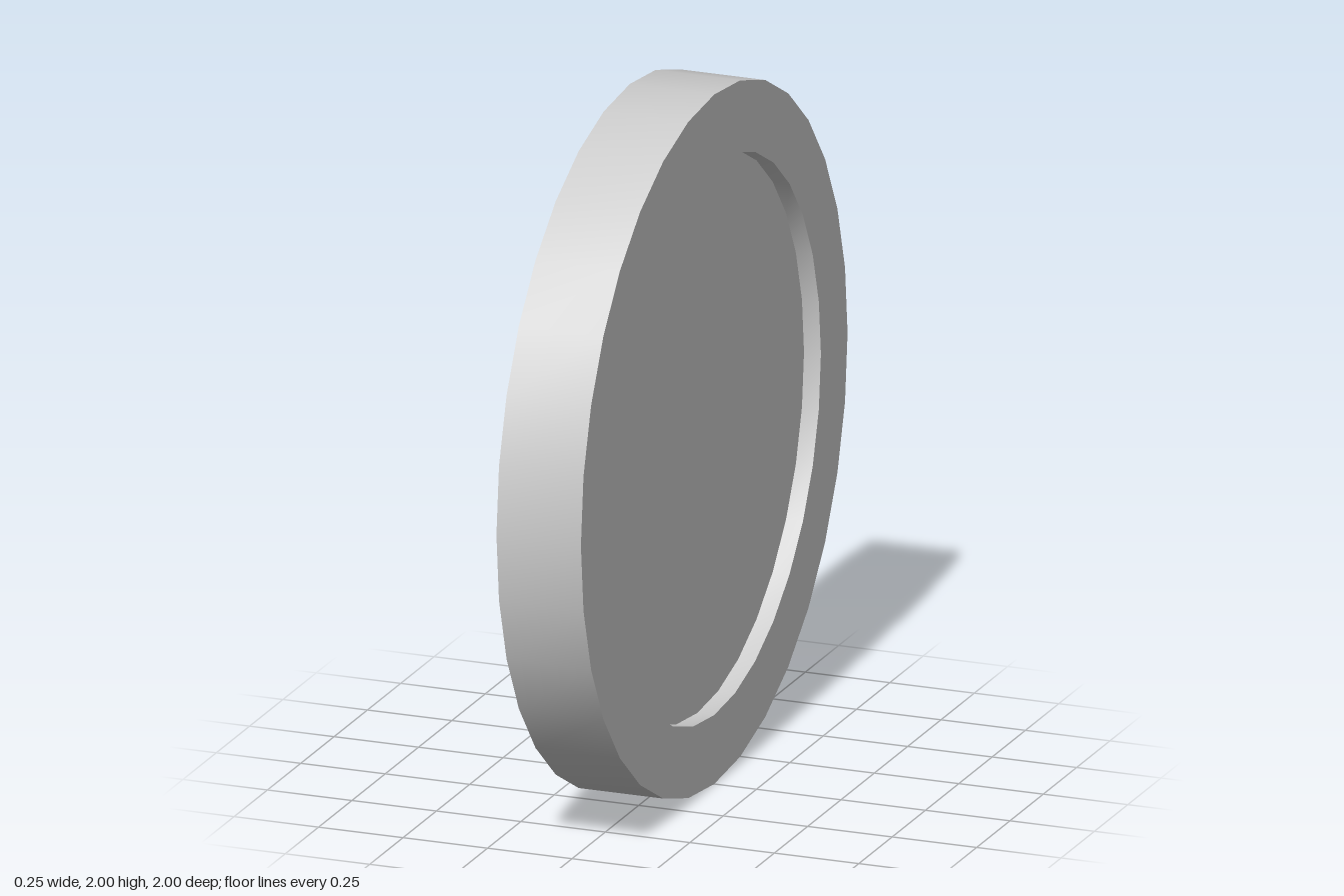
import * as THREE from 'three';
import { toCreasedNormals } from 'three/addons/utils/BufferGeometryUtils.js';

const SIDES = 32;
const OUTER = 1;          // rim radius
const INNER = 0.8;        // recess radius
const HALF = 0.125;       // half the rim width
const PANEL = 0.075;      // distance of each recessed panel from the middle

export function createModel() {
  const group = new THREE.Group();
  group.name = 'disc';
  const material = new THREE.MeshStandardMaterial({ color: 0xcccccc });

  const add = (name, geometry) => {
    const mesh = new THREE.Mesh(geometry, material);
    mesh.name = name;
    mesh.position.y = OUTER;
    group.add(mesh);
    return mesh;
  };

  // Rim: outer wall, two flat borders and the short recess walls, turned about x
  const profile = [
    [INNER, -PANEL], [INNER, -HALF], [OUTER, -HALF],
    [OUTER, HALF], [INNER, HALF], [INNER, PANEL],
  ].map(([r, h]) => new THREE.Vector2(r, h));
  const rim = new THREE.LatheGeometry(profile, SIDES).rotateZ(-Math.PI / 2);
  add('rim', toCreasedNormals(rim, Math.PI / 6));

  // Recessed panels, one facing each way
  for (const side of [1, -1]) {
    const panel = new THREE.CircleGeometry(INNER, SIDES).rotateY(side * Math.PI / 2);
    add(side > 0 ? 'leftPanel' : 'rightPanel', panel).position.x = side * PANEL;
  }

  return group;
}
